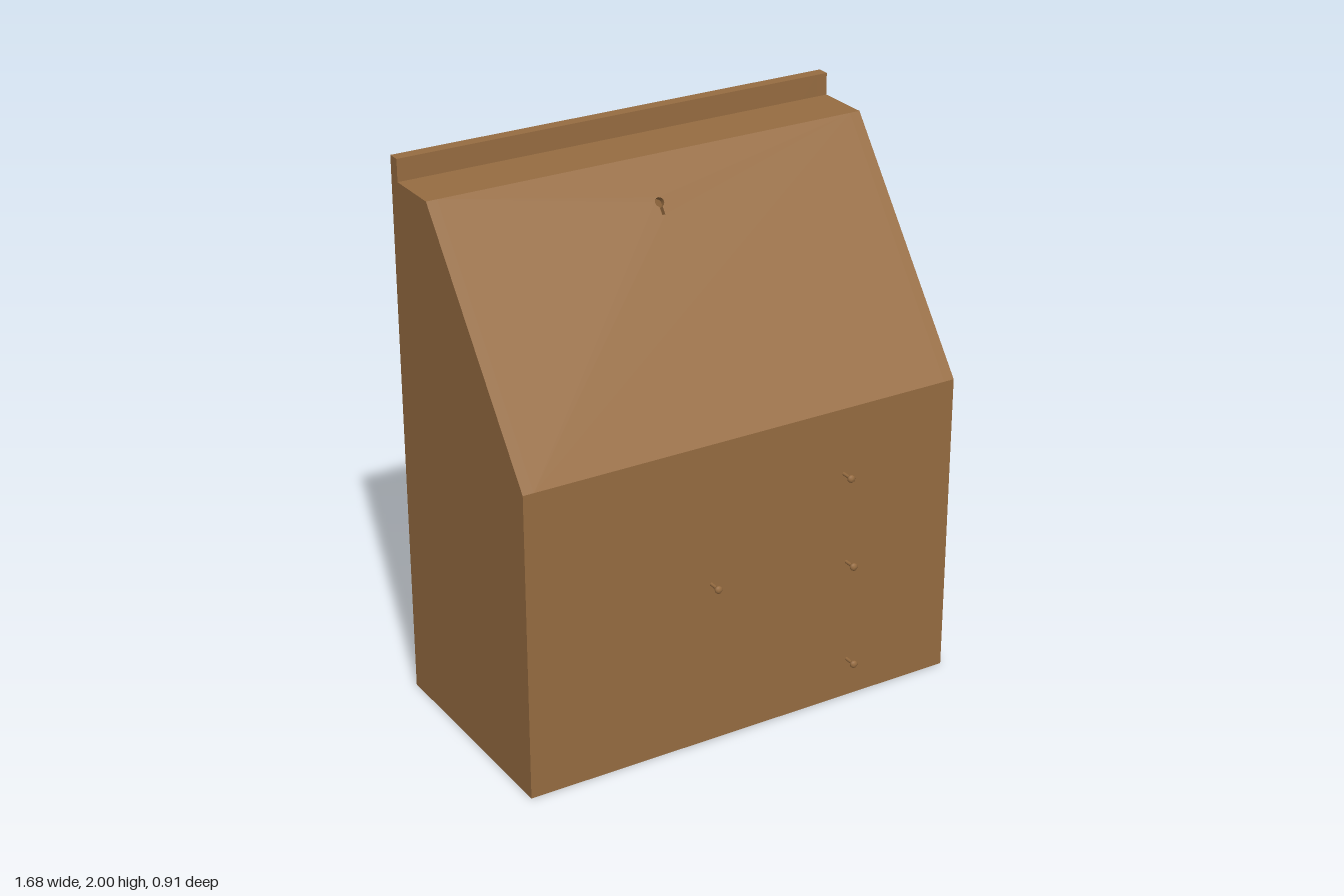
import * as THREE from 'three';

export function createModel() {
  const group = new THREE.Group();
  group.name = 'slantFrontDesk';
  const wood = new THREE.MeshStandardMaterial({ color: 0x966c41 });
  wood.name = 'brownWood';

  const W = 0.84, T = 0.04;                 // half width, board thickness
  const BACK = -0.455, FRONT = 0.4;         // cabinet depth
  const KNEE = 1.13, DECK = 1.92, RIDGE = -0.205, TOP = 2;

  const add = (name, geometry, x = 0, y = 0, z = 0) => {
    const mesh = new THREE.Mesh(geometry, wood);
    mesh.name = name;
    mesh.position.set(x, y, z);
    group.add(mesh);
    return mesh;
  };
  // Board spanning between the two sides, given by its y and z limits
  const board = (name, y0, y1, z0, z1) =>
    add(name, new THREE.BoxGeometry(2 * (W - T), y1 - y0, z1 - z0), 0, (y0 + y1) / 2, (z0 + z1) / 2);

  // Side panels: profile drawn as (-z, y), then turned to face sideways
  const profile = new THREE.Shape([
    [FRONT, 0], [FRONT, KNEE], [RIDGE, DECK], [BACK + 0.045, DECK],
    [BACK + 0.045, TOP], [BACK, TOP], [BACK, 0],
  ].map(([z, y]) => new THREE.Vector2(-z, y)));
  for (const [name, x] of [['leftSide', W - T], ['rightSide', -W]]) {
    const geometry = new THREE.ExtrudeGeometry(profile, { depth: T, bevelEnabled: false });
    geometry.rotateY(Math.PI / 2);
    add(name, geometry, x);
  }

  // Hollow carcass
  board('backBoard', 0, TOP, BACK, BACK + 0.045);
  board('bottomBoard', 0, T, BACK + 0.045, FRONT - T);
  board('frontBoard', 0, KNEE, FRONT - T, FRONT);
  board('topDeck', DECK - T, DECK, BACK + 0.045, RIDGE);

  // Sloping lid with a keyhole cut through it
  const rise = DECK - KNEE, run = FRONT - RIDGE, length = Math.hypot(rise, run);
  const hw = W - T;
  const lid = new THREE.Shape([
    new THREE.Vector2(-hw, 0), new THREE.Vector2(hw, 0),
    new THREE.Vector2(hw, length), new THREE.Vector2(-hw, length),
  ]);
  const kx = -0.032, ku = 0.83, r = 0.017, slot = 0.006;
  const a = Math.asin(slot / r);
  const keyhole = new THREE.Path();
  keyhole.moveTo(kx - slot, ku - 0.045);
  keyhole.lineTo(kx + slot, ku - 0.045);
  keyhole.absarc(kx, ku, r, -Math.PI / 2 + a, Math.PI * 1.5 - a, false);
  keyhole.closePath();
  lid.holes.push(keyhole);
  const lidGeometry = new THREE.ExtrudeGeometry(lid, { depth: 0.02, bevelEnabled: false, curveSegments: 16 });
  lidGeometry.translate(0, 0, -0.02);
  add('slopingLid', lidGeometry, 0, KNEE, FRONT).rotation.x = -Math.atan2(run, rise);

  // Small turned knobs on the front
  const knobProfile = [
    [0.006, 0], [0.006, 0.034], [0.011, 0.037], [0.014, 0.043], [0.013, 0.05], [0.008, 0.054], [0, 0.055],
  ].map(([x, y]) => new THREE.Vector2(x, y));
  const knobGeometry = new THREE.LatheGeometry(knobProfile, 16);
  knobGeometry.rotateX(Math.PI / 2);
  for (const [x, y] of [[0.39, 0.885], [-0.138, 0.61], [0.411, 0.54], [0.424, 0.148]]) {
    add('knob', knobGeometry, x, y, FRONT);
  }
  return group;
}
